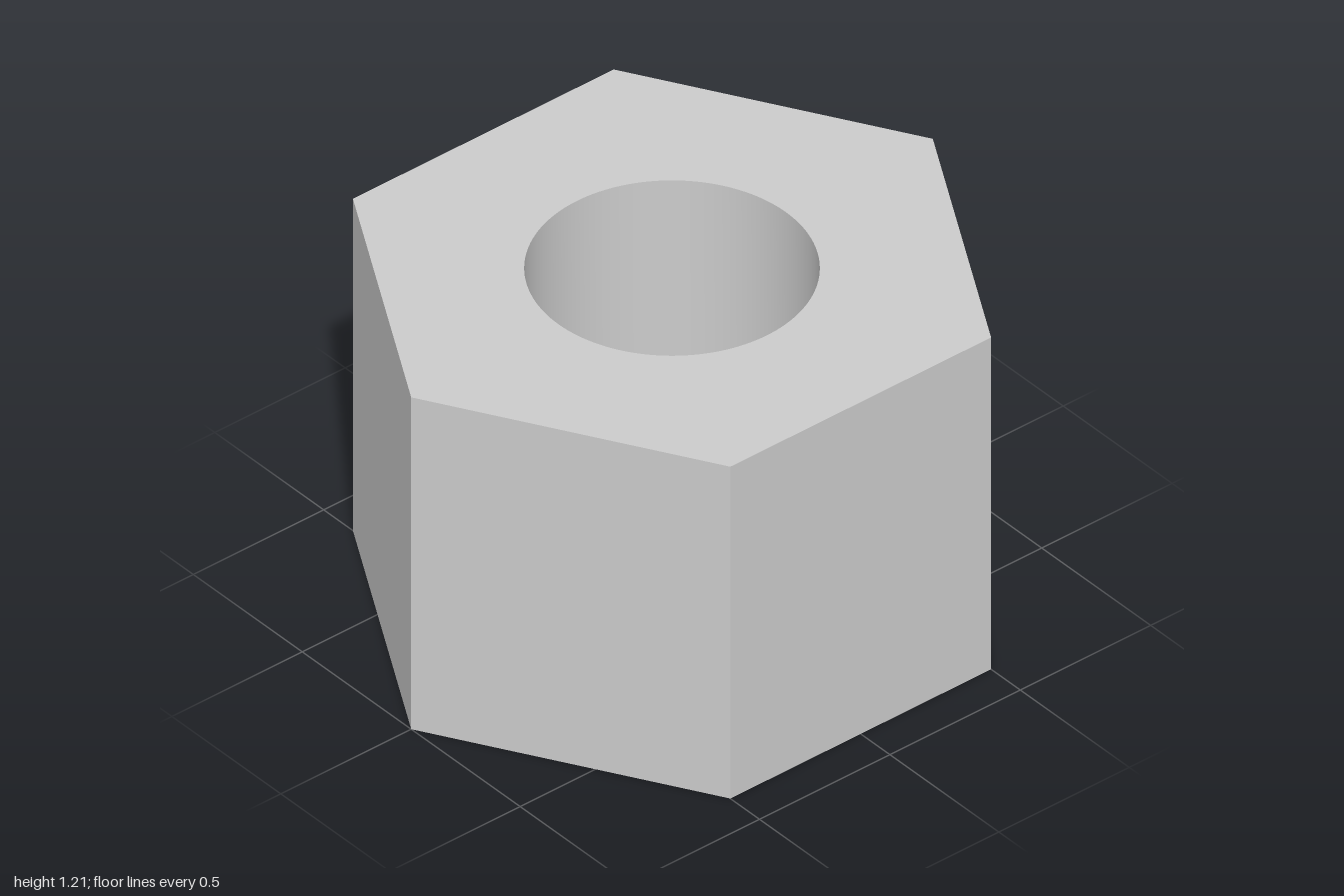
import * as THREE from 'three';
import { toCreasedNormals } from 'three/addons/utils/BufferGeometryUtils.js';

const RADIUS = 1; // centre to hexagon corner
const BORE = 0.435;
const HEIGHT = 1.213;

export function createModel() {
  const group = new THREE.Group();
  group.name = 'hexNut';

  // Hexagonal outline with corners on the x axis
  const corners = [];
  for (let i = 0; i < 6; i++) {
    const a = (i * Math.PI) / 3;
    corners.push(new THREE.Vector2(RADIUS * Math.cos(a), RADIUS * Math.sin(a)));
  }
  const outline = new THREE.Shape(corners);

  // Round through hole
  outline.holes.push(new THREE.Path().absarc(0, 0, BORE, 0, Math.PI * 2, true));

  // Extruded upright; the bore is smooth, the hexagon edges stay sharp
  const extruded = new THREE.ExtrudeGeometry(outline, {
    depth: HEIGHT,
    bevelEnabled: false,
    curveSegments: 72,
  });
  extruded.rotateX(-Math.PI / 2);

  const body = new THREE.Mesh(
    toCreasedNormals(extruded, Math.PI / 6),
    new THREE.MeshStandardMaterial({ color: 0xcccccc })
  );
  body.name = 'nutBody';
  group.add(body);
  return group;
}
